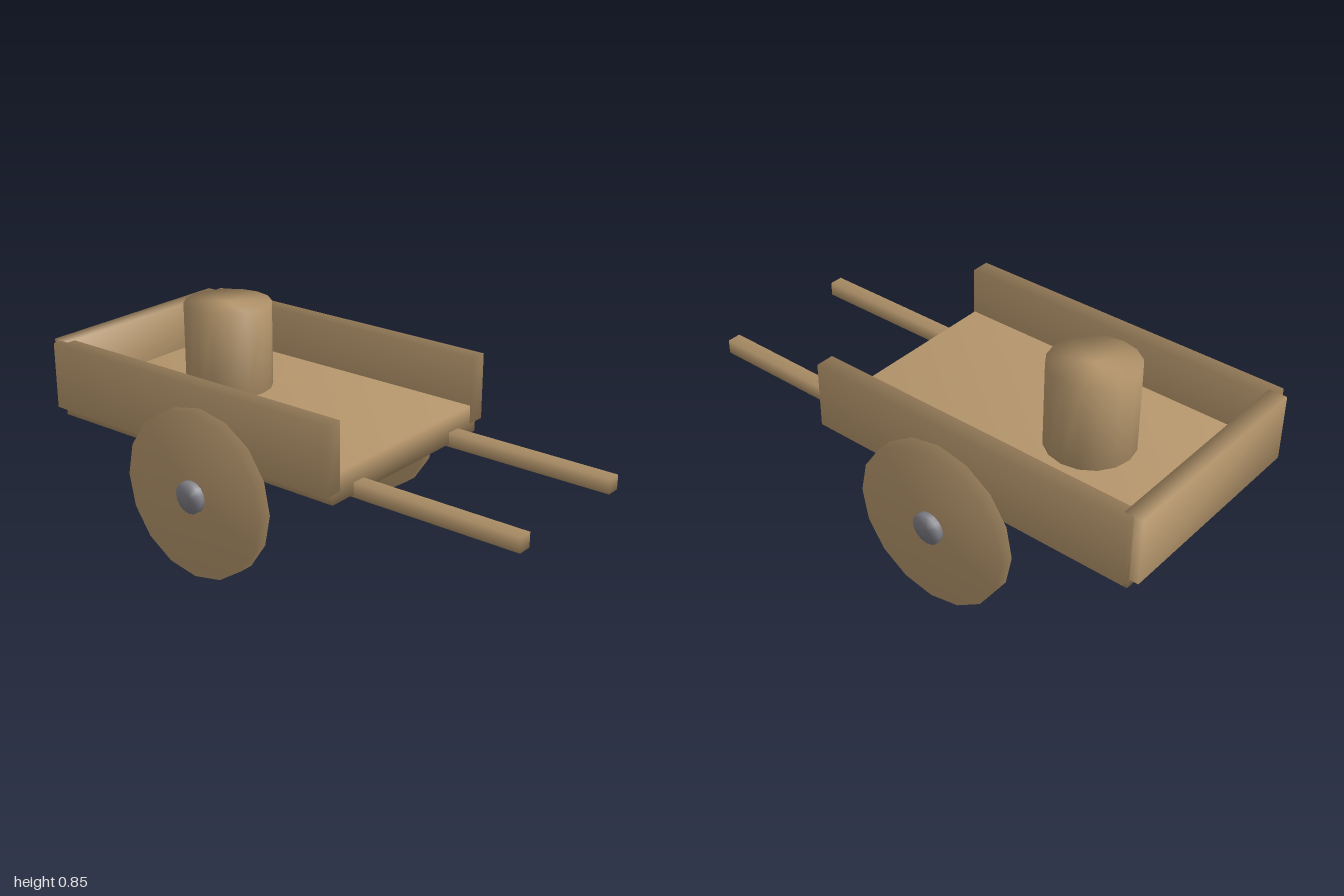
import * as THREE from 'three';
import { mergeVertices } from 'three/addons/utils/BufferGeometryUtils.js';

const wood = new THREE.MeshStandardMaterial({ color: 0xb5966c });
const metal = new THREE.MeshStandardMaterial({ color: 0x808088 });

// Share vertices so the shading runs softly over every edge
function soften(geometry) {
  geometry.deleteAttribute('normal');
  geometry.deleteAttribute('uv');
  const welded = mergeVertices(geometry, 1e-4);
  welded.computeVertexNormals();
  return welded;
}

// Box given by its lower and upper limits
function plank(name, [x0, y0, z0], [x1, y1, z1]) {
  const mesh = new THREE.Mesh(soften(new THREE.BoxGeometry(x1 - x0, y1 - y0, z1 - z0)), wood);
  mesh.name = name;
  mesh.position.set((x0 + x1) / 2, (y0 + y1) / 2, (z0 + z1) / 2);
  return mesh;
}

function disc(name, radius, height, material, [x, y, z], sides = 16) {
  const mesh = new THREE.Mesh(soften(new THREE.CylinderGeometry(radius, radius, height, sides)), material);
  mesh.name = name;
  mesh.position.set(x, y, z);
  return mesh;
}

export function createModel() {
  const cart = new THREE.Group();
  cart.name = 'handcart';

  // Bed and tailboard
  cart.add(plank('bed', [-0.42, 0.41, -0.96], [0.42, 0.52, 0.342]));
  cart.add(plank('backBoard', [-0.42, 0.45, -1], [0.42, 0.706, -0.93]));

  // Barrel standing on the bed
  cart.add(disc('barrel', 0.165, 0.33, wood, [0, 0.683, -0.5]));

  for (const [side, s] of [['left', 1], ['right', -1]]) {
    // Side board and pull handle
    const board = plank(side + 'SideBoard', [0.385, 0.45, -0.965], [0.457, 0.705, 0.345]);
    const handle = plank(side + 'Handle', [0.253, 0.4, 0.16], [0.308, 0.455, 1]);
    board.position.x *= s;
    handle.position.x *= s;

    // Solid wheel with a metal hub
    const wheel = disc(side + 'Wheel', 0.315, 0.054, wood, [s * 0.487, 0.315, -0.215]);
    const hub = disc(side + 'Hub', 0.061, 0.092, metal, [s * 0.486, 0.315, -0.215]);
    wheel.rotation.z = hub.rotation.z = Math.PI / 2;
    cart.add(board, handle, wheel, hub);
  }
  return cart;
}
